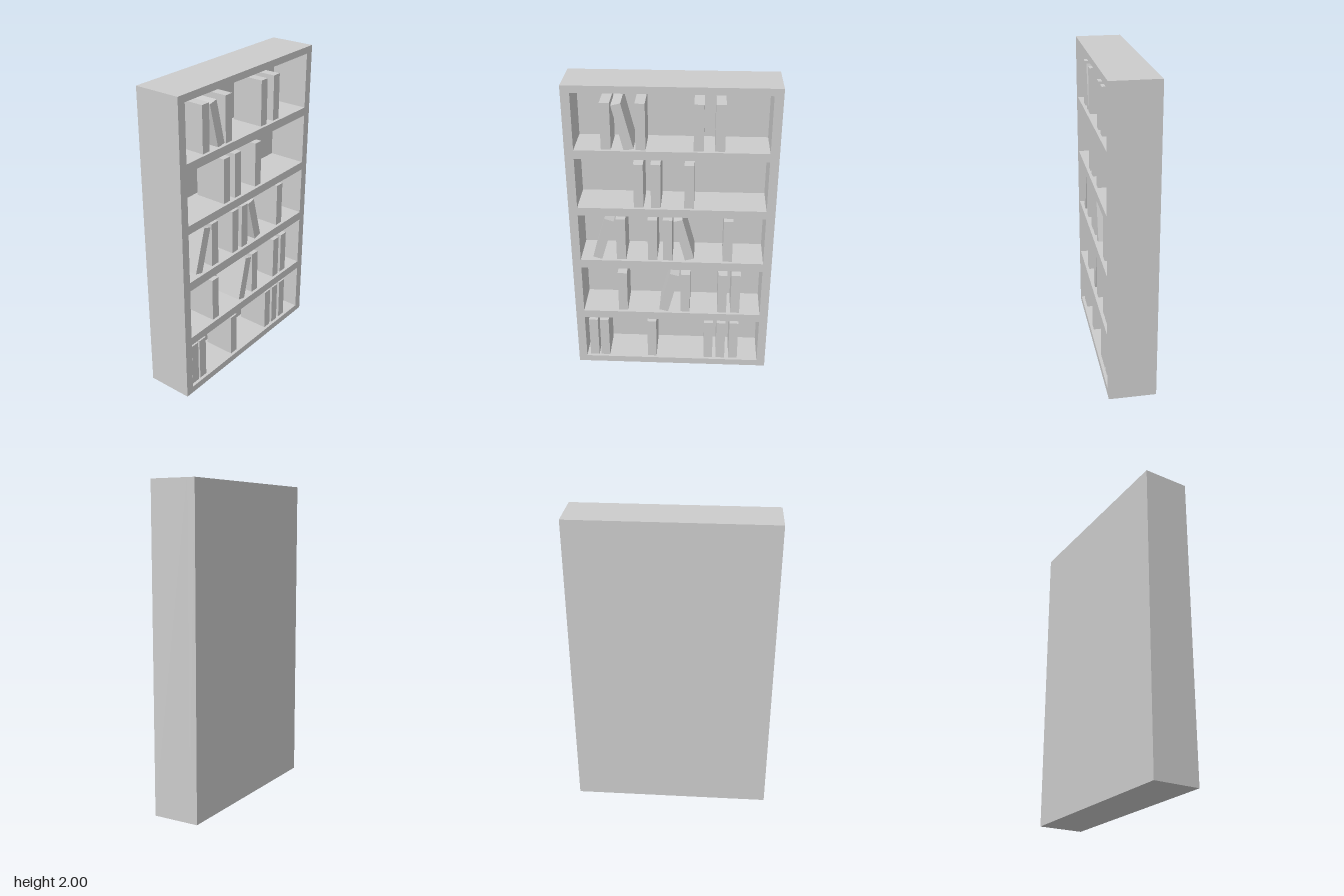
import * as THREE from 'three';

const W = 1.28, H = 2, FRONT = 0.15, BACK = -0.15, PANEL = 0.05;
const INNER = 0.585;                       // half width of the openings
const BOOK = { w: 0.06, h: 0.292, d: 0.21, z: 0.025 };

// Each shelf: floor and ceiling height, upright books [x], leaning books [x, y, tilt]
const SHELVES = [
  { floor: 0.045, top: 0.373, upright: [-0.532, -0.458, -0.135, 0.249, 0.333, 0.42], leaning: [] },
  { floor: 0.428, top: 0.77, upright: [-0.323, 0.09, 0.333, 0.42], leaning: [[-0.017, 0.574, -0.25]] },
  { floor: 0.829, top: 1.156, upright: [-0.323, -0.122, -0.026, 0.357],
    leaning: [[-0.435, 0.975, -0.29], [0.077, 0.979, 0.26]] },
  { floor: 1.21, top: 1.543, upright: [-0.204, -0.098, 0.108], leaning: [] },
  { floor: 1.598, top: 1.956, upright: [-0.392, -0.185, 0.161, 0.288], leaning: [[-0.291, 1.741, 0.24]] },
];

function rectangle(path, x0, y0, x1, y1) {
  return path.moveTo(x0, y0).lineTo(x1, y0).lineTo(x1, y1).lineTo(x0, y1).closePath();
}

export function createModel() {
  const model = new THREE.Group();
  model.name = 'bookcase';
  const material = new THREE.MeshStandardMaterial({ color: 0xcccccc, flatShading: true });

  const add = (name, geometry, x, y, z, parent = model) => {
    const mesh = new THREE.Mesh(geometry, material);
    mesh.name = name;
    mesh.position.set(x, y, z);
    parent.add(mesh);
    return mesh;
  };

  // Sides, top, base and shelves in one frame with five openings
  const outline = rectangle(new THREE.Shape(), -W / 2, 0, W / 2, H);
  for (const s of SHELVES) {
    outline.holes.push(rectangle(new THREE.Path(), -INNER, s.floor, INNER, s.top));
  }
  const depth = FRONT - BACK - PANEL;
  add('frame', new THREE.ExtrudeGeometry(outline, { depth, bevelEnabled: false }), 0, 0, BACK + PANEL);

  // Back panel closing the openings
  add('backPanel', new THREE.BoxGeometry(W, H, PANEL), 0, H / 2, BACK + PANEL / 2);

  // Books, standing and leaning
  const bookGeometry = new THREE.BoxGeometry(BOOK.w, BOOK.h, BOOK.d);
  SHELVES.forEach((s, i) => {
    const row = new THREE.Group();
    row.name = `bookRow${i + 1}`;
    model.add(row);
    for (const x of s.upright) add('book', bookGeometry, x, s.floor + BOOK.h / 2, BOOK.z, row);
    for (const [x, y, tilt] of s.leaning) {
      add('leaningBook', bookGeometry, x, y, BOOK.z, row).rotation.z = tilt;
    }
  });

  return model;
}
